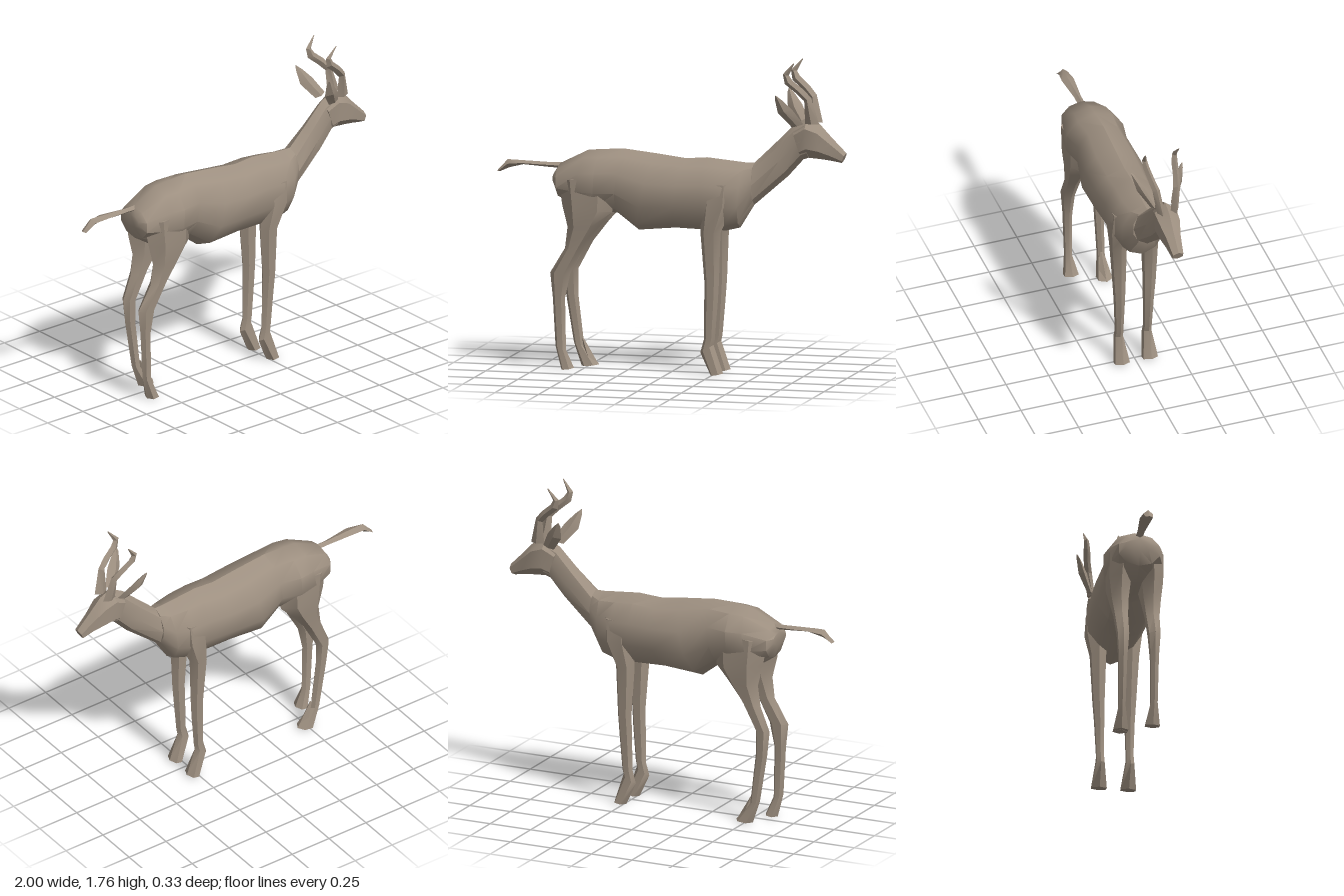
import * as THREE from 'three';
import { toCreasedNormals } from 'three/addons/utils/BufferGeometryUtils.js';

// Loft through rings. Each row is [ax, ay, bx, by, z, halfWidth]: the ring
// spans points A and B of the side profile and bulges halfWidth to both sides.
function loft(rows, sides, side = 1, crease = 0.6) {
  const pos = [], idx = [];
  let widest = 0;
  for (let i = 0; i < sides; i++) widest = Math.max(widest, Math.sin((i / sides) * Math.PI * 2));
  for (const [ax, ay, bx, by, z, hw] of rows) {
    for (let i = 0; i < sides; i++) {
      const t = (i / sides) * Math.PI * 2, c = Math.cos(t), s = Math.sin(t) / widest;
      pos.push((ax + bx) / 2 + (c * (ax - bx)) / 2, (ay + by) / 2 + (c * (ay - by)) / 2, side * z + s * hw);
    }
  }
  for (let r = 0; r < rows.length - 1; r++) {
    for (let i = 0; i < sides; i++) {
      const a = r * sides + i, b = r * sides + ((i + 1) % sides);
      idx.push(a, b, a + sides, b, b + sides, a + sides);
    }
  }
  const last = (rows.length - 1) * sides;
  for (let i = 1; i < sides - 1; i++) {
    idx.push(0, i + 1, i, last, last + i, last + i + 1);
  }
  // Turn the faces outward if the enclosed volume is negative
  const v = (i) => new THREE.Vector3().fromArray(pos, i * 3);
  let volume = 0;
  for (let i = 0; i < idx.length; i += 3) volume += v(idx[i]).dot(v(idx[i + 1]).cross(v(idx[i + 2])));
  if (volume < 0) idx.reverse();
  const geo = new THREE.BufferGeometry();
  geo.setAttribute('position', new THREE.Float32BufferAttribute(pos, 3));
  geo.setIndex(idx);
  return toCreasedNormals(geo, crease);
}

export function createModel() {
  const group = new THREE.Group();
  const coat = new THREE.MeshStandardMaterial({ color: 0x9d8f80 });
  coat.name = 'coat';
  const add = (name, ...args) => {
    const mesh = new THREE.Mesh(loft(...args), coat);
    mesh.name = name;
    group.add(mesh);
  };

  // Trunk from rump to chest
  add('body', [
    [-0.662, 1.1, -0.668, 1.03, 0, 0.075],
    [-0.64, 1.14, -0.635, 0.95, 0, 0.115],
    [-0.48, 1.22, -0.54, 0.89, 0, 0.15],
    [-0.4, 1.228, -0.42, 0.88, 0, 0.165],
    [-0.27, 1.235, -0.31, 0.875, 0, 0.142],
    [-0.08, 1.215, -0.19, 0.785, 0, 0.165],
    [0.08, 1.195, 0.02, 0.805, 0, 0.163],
    [0.2, 1.205, 0.2, 0.8, 0, 0.153],
    [0.31, 1.195, 0.31, 0.8, 0, 0.15],
    [0.42, 1.185, 0.39, 0.82, 0, 0.122],
    [0.47, 1.185, 0.47, 0.95, 0, 0.08],
  ], 10, 1, 0.7);

  // Neck
  add('neck', [
    [0.42, 1.185, 0.39, 0.82, 0, 0.11],
    [0.47, 1.185, 0.47, 0.95, 0, 0.08],
    [0.585, 1.295, 0.665, 1.12, 0, 0.06],
    [0.69, 1.4, 0.75, 1.215, 0, 0.05],
    [0.76, 1.44, 0.78, 1.225, 0, 0.06],
  ], 8);

  // Head and muzzle
  add('head', [
    [0.69, 1.4, 0.75, 1.215, 0, 0.05],
    [0.77, 1.45, 0.78, 1.225, 0, 0.063],
    [0.84, 1.42, 0.85, 1.22, 0, 0.06],
    [0.91, 1.345, 0.91, 1.213, 0, 0.042],
    [0.995, 1.26, 0.97, 1.203, 0, 0.03],
  ], 6, 1, 0.5);

  // Tail
  add('tail', [
    [-0.6, 1.145, -0.6, 1.11, 0, 0.02],
    [-0.7, 1.143, -0.7, 1.115, 0, 0.02],
    [-0.86, 1.148, -0.85, 1.125, 0.003, 0.035],
    [-0.94, 1.15, -0.93, 1.105, 0.002, 0.027],
    [-1, 1.085, -0.985, 1.08, 0, 0.02],
  ], 4);

  for (const side of [1, -1]) {
    const label = side > 0 ? 'left' : 'right';

    // Front leg with shoulder
    add(label + 'FrontLeg', [
      [0.19, 1.06, 0.38, 1.08, 0.09, 0.055],
      [0.19, 0.95, 0.37, 0.95, 0.095, 0.06],
      [0.185, 0.8, 0.3, 0.8, 0.092, 0.042],
      [0.207, 0.52, 0.29, 0.52, 0.088, 0.031],
      [0.205, 0.4, 0.282, 0.4, 0.085, 0.026],
      [0.203, 0.2, 0.265, 0.2, 0.083, 0.02],
      [0.182, 0.125, 0.258, 0.17, 0.083, 0.022],
      [0.24, 0, 0.312, 0.012, 0.082, 0.042],
    ], 6, side, 0.5);

    // Hind leg with thigh; the right one steps slightly forward
    const step = side > 0 ? 0 : 0.06;
    add(label + 'HindLeg', [
      [-0.63, 1.06, -0.3, 1.1, 0.08, 0.07],
      [-0.605, 0.92, -0.32, 0.89, 0.09, 0.06],
      [-0.575, 0.8, -0.39, 0.81, 0.09, 0.048],
      [-0.59, 0.68, -0.475, 0.7, 0.088, 0.037],
      [-0.675 + step / 2, 0.54, -0.56, 0.54, 0.086, 0.032],
      [-0.66 + step / 2, 0.4, -0.59 + step / 2, 0.4, 0.086, 0.023],
      [-0.645 + step, 0.13, -0.585 + step, 0.11, 0.085, 0.019],
      [-0.612 + step * 1.2, 0, -0.54 + step * 1.7, 0.01, 0.082, 0.04],
    ], 6, side, 0.5);

    // Ear
    add(label + 'Ear', [
      [0.7, 1.4, 0.765, 1.42, 0.06, 0.014],
      [0.632, 1.485, 0.715, 1.505, 0.108, 0.024],
      [0.622, 1.565, 0.665, 1.56, 0.135, 0.012],
      [0.628, 1.59, 0.634, 1.586, 0.147, 0.004],
    ], 4, side, 0.3);

    // Curled horn
    add(label + 'Horn', [
      [0.77, 1.42, 0.85, 1.42, 0.04, 0.022],
      [0.77, 1.55, 0.81, 1.57, 0.06, 0.021],
      [0.725, 1.595, 0.765, 1.62, 0.073, 0.019],
      [0.665, 1.645, 0.71, 1.665, 0.083, 0.018],
      [0.655, 1.7, 0.69, 1.695, 0.088, 0.014],
      [0.718, 1.765, 0.722, 1.76, 0.098, 0.003],
    ], 4, side, 0.4);
  }

  // Upright dewclaw behind the right hind hoof
  add('rightHindDewclaw', [
    [-0.535, 0.15, -0.525, 0.15, 0.08, 0.008],
    [-0.515, 0, -0.442, 0.01, 0.08, 0.035],
  ], 4, -1);

  return group;
}
